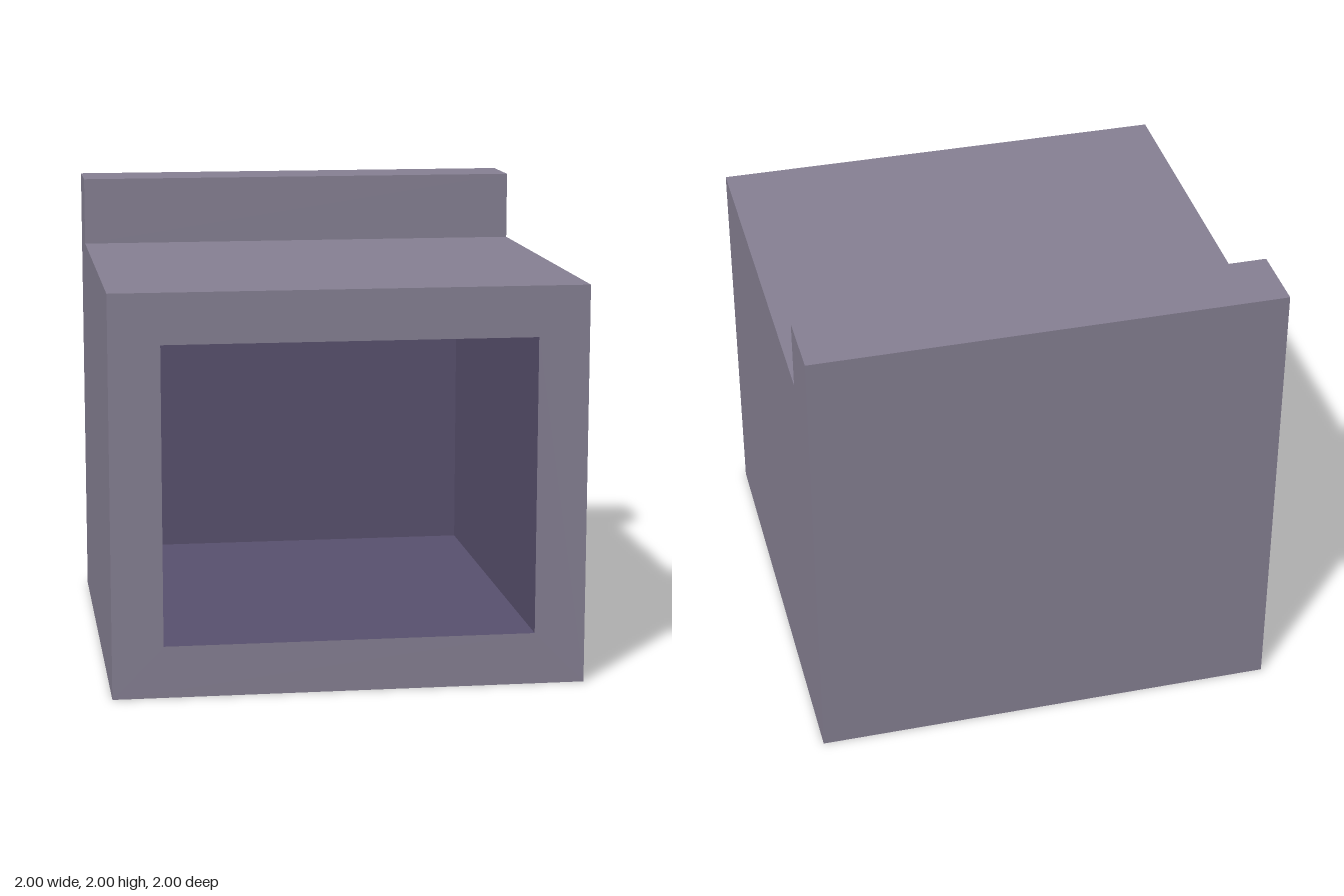
import * as THREE from 'three';

const FRONT = 1;

// Removes the triangles lying in the front plane; can turn the rest to face inward.
function openFront(geometry, inward = false) {
  const source = geometry.index ? geometry.toNonIndexed() : geometry;
  const p = source.attributes.position;
  const points = [];
  for (let i = 0; i < p.count; i += 3) {
    const tri = [0, 1, 2].map((k) => new THREE.Vector3().fromBufferAttribute(p, i + k));
    if (tri.every((v) => Math.abs(v.z - FRONT) < 1e-4)) continue;
    if (inward) tri.reverse();
    points.push(...tri);
  }
  const result = new THREE.BufferGeometry().setFromPoints(points);
  result.computeVertexNormals();
  return result;
}

export function createModel() {
  const model = new THREE.Group();
  const shellGrey = new THREE.MeshStandardMaterial({ color: 0x878194 });
  shellGrey.name = 'shellGrey';
  const cavityPurple = new THREE.MeshStandardMaterial({ color: 0x59516f });
  cavityPurple.name = 'cavityPurple';

  const add = (name, geometry, material) => {
    const mesh = new THREE.Mesh(geometry, material);
    mesh.name = name;
    model.add(mesh);
  };

  // Outer shell: stepped side profile (z, y) extruded across the width
  const profile = new THREE.Shape(
    [[-1, 0], [1, 0], [1, 1.7], [-0.7, 1.7], [-0.7, 2], [-1, 2]].map(([z, y]) => new THREE.Vector2(-z, y))
  );
  const shell = new THREE.ExtrudeGeometry(profile, { depth: 2, bevelEnabled: false });
  shell.translate(0, 0, -1).rotateY(Math.PI / 2);
  add('outerShell', openFront(shell), shellGrey);

  // Front rim around the opening
  const w = 0.785, bottom = 0.22, top = 1.485, back = -0.82;
  const rect = (x, y0, y1) => [[-x, y0], [x, y0], [x, y1], [-x, y1]].map(([a, b]) => new THREE.Vector2(a, b));
  const rim = new THREE.Shape(rect(1, 0, 1.7));
  rim.holes.push(new THREE.Path(rect(w, bottom, top)));
  add('frontRim', new THREE.ShapeGeometry(rim).translate(0, 0, FRONT), shellGrey);

  // Hollow interior: a box open at the front, facing inward
  const cavity = new THREE.BoxGeometry(2 * w, top - bottom, FRONT - back);
  cavity.translate(0, (top + bottom) / 2, (FRONT + back) / 2);
  add('cavity', openFront(cavity, true), cavityPurple);

  return model;
}
